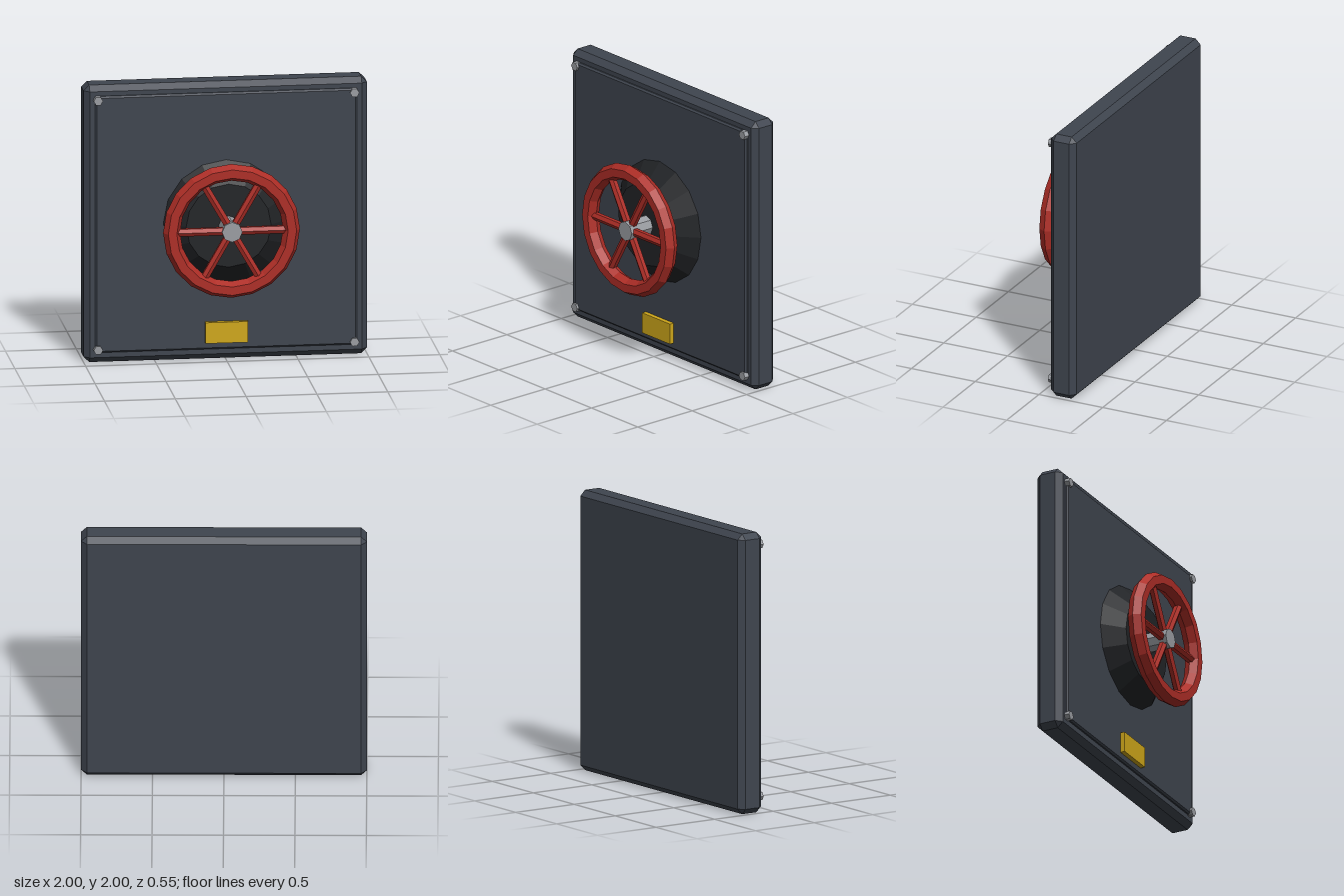
import * as THREE from 'three';
import { ConvexGeometry } from 'three/addons/geometries/ConvexGeometry.js';

const material = (color) => new THREE.MeshStandardMaterial({ color, flatShading: true });
const slate = material(0x3f454f);
const black = material(0x222427);
const red = material(0xad2d26);
const steel = material(0x9a9da2);
const yellow = material(0xcfa71a);

// Box with every edge and corner cut at 45 degrees
function chamferedBox(w, h, d, c) {
  const points = [];
  for (const sx of [-1, 1]) for (const sy of [-1, 1]) for (const sz of [-1, 1]) {
    const x = w / 2, y = h / 2, z = d / 2;
    points.push(
      new THREE.Vector3(sx * x, sy * (y - c), sz * (z - c)),
      new THREE.Vector3(sx * (x - c), sy * y, sz * (z - c)),
      new THREE.Vector3(sx * (x - c), sy * (y - c), sz * z));
  }
  return new ConvexGeometry(points);
}

// Cylinder or cone along z, running from zBack to zFront
function zCylinder(rFront, rBack, zBack, zFront, sides, turn = 0) {
  return new THREE.CylinderGeometry(rFront, rBack, zFront - zBack, sides)
    .rotateY(turn).rotateX(Math.PI / 2).translate(0, 0, (zFront + zBack) / 2);
}

export function createModel() {
  const model = new THREE.Group();
  const add = (name, geometry, mat, x = 0, y = 0, z = 0, parent = model) => {
    const mesh = new THREE.Mesh(geometry, mat);
    mesh.name = name;
    mesh.position.set(x, y, z);
    parent.add(mesh);
    return mesh;
  };

  // Hatch slab and raised front panel
  add('doorSlab', chamferedBox(2, 2, 0.2, 0.04), slate, 0, 1, -0.176);
  add('frontPanel', chamferedBox(1.85, 1.85, 0.06, 0.012), slate, 0, 1.003, -0.084);

  // Hexagonal corner bolts
  const bolt = zCylinder(0.033, 0.033, -0.09, -0.038, 6, Math.PI / 6);
  for (const x of [-0.905, 0.905]) for (const y of [0.1, 1.9]) add('cornerBolt', bolt, steel, x, y);

  // Tapered housing and shaft
  add('housing', zCylinder(0.3, 0.452, -0.06, 0.072, 16), black, 0, 1);
  add('shaft', zCylinder(0.072, 0.072, 0.05, 0.265, 8), steel, 0, 1);

  // Handwheel: rim and three bars forming six spokes
  const wheel = new THREE.Group();
  wheel.name = 'handwheel';
  wheel.position.set(0, 1, 0.222);
  model.add(wheel);
  add('rim', new THREE.TorusGeometry(0.423, 0.06, 6, 20), red, 0, 0, 0, wheel);
  const bar = new THREE.CylinderGeometry(0.03, 0.03, 0.83, 6).rotateZ(Math.PI / 2);
  for (let i = 0; i < 3; i++) add('spokeBar', bar, red, 0, 0, 0, wheel).rotation.z = i * Math.PI / 3;

  // Plain label plate
  add('labelPlate', new THREE.BoxGeometry(0.3, 0.15, 0.05), yellow, 0, 0.205, -0.045);

  return model;
}
